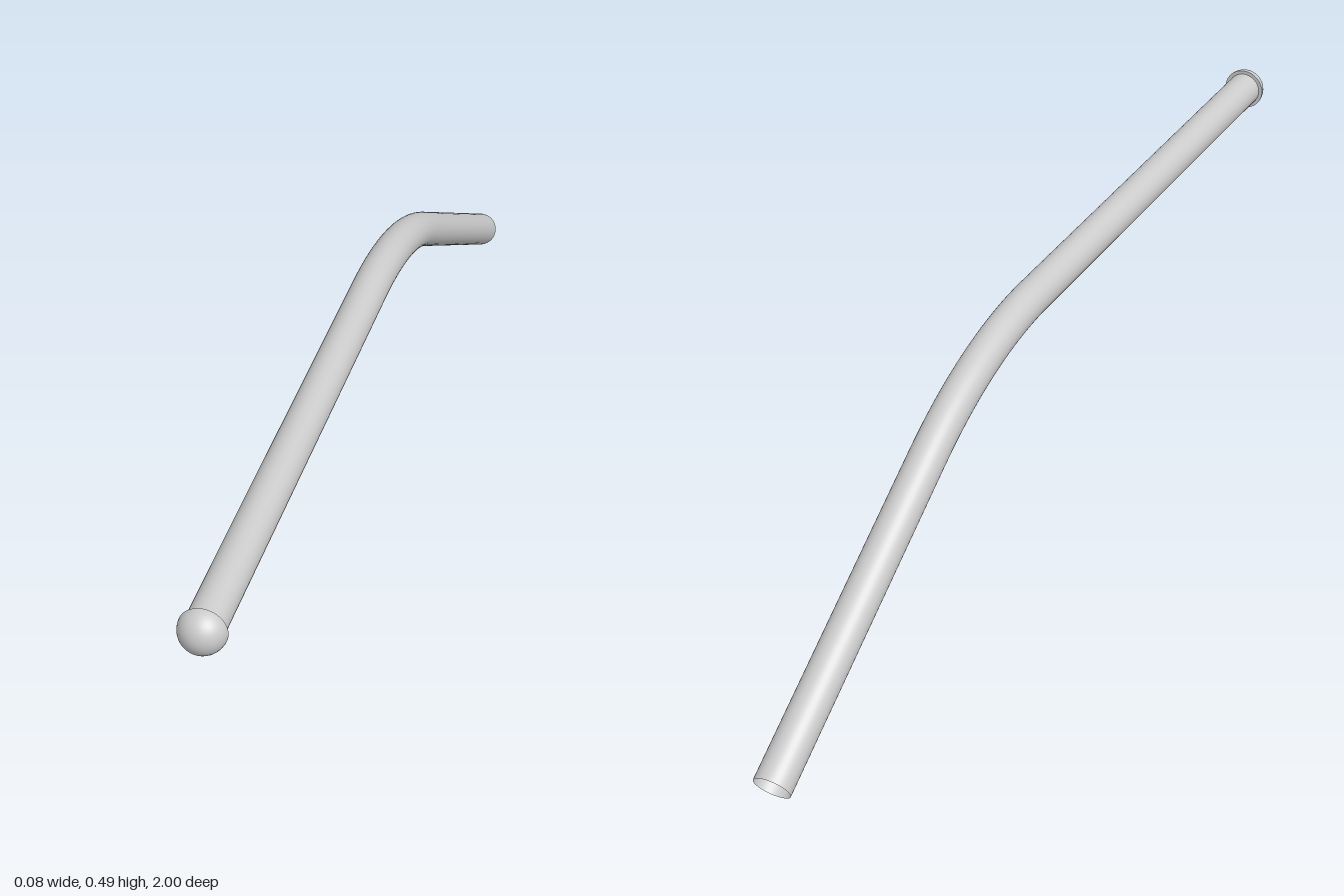
import * as THREE from 'three';

const HEIGHT = 0.452;      // centre line of the level run
const TUBE_RADIUS = 0.033;
const CAP_RADIUS = 0.04;
const SLOPE = Math.PI / 6; // bend angle

export function createModel() {
  const group = new THREE.Group();
  const material = new THREE.MeshStandardMaterial({ color: 0xcccccc, side: THREE.DoubleSide });

  // Centre line: level run, rounded bend, then a run sloping down to the back
  const point = (y, z) => new THREE.Vector3(0, y, z);
  const corner = point(HEIGHT, -0.25);
  const end = point(0.0286, -0.9835);
  const bendLength = 0.22;
  const bendStart = point(HEIGHT, corner.z + bendLength);
  const bendEnd = corner.clone().add(end.clone().sub(corner).setLength(bendLength));

  // Circular arc between the two tangent points
  class Bend extends THREE.Curve {
    getPoint(t, target = new THREE.Vector3()) {
      const r = bendLength / Math.tan(SLOPE / 2);
      const a = t * SLOPE;
      return target.set(0, HEIGHT - r * (1 - Math.cos(a)), bendStart.z - r * Math.sin(a));
    }
  }
  const path = new THREE.CurvePath();
  path.add(new THREE.LineCurve3(point(HEIGHT, 0.965), bendStart));
  path.add(new Bend());
  path.add(new THREE.LineCurve3(bendEnd, end));

  // Bent pipe, open at the back end
  const pipe = new THREE.Mesh(new THREE.TubeGeometry(path, 120, TUBE_RADIUS, 40), material);
  pipe.name = 'bentPipe';
  group.add(pipe);

  // Domed end cap, with a flat rim stepping in to the pipe
  const cap = new THREE.Group();
  cap.name = 'endCap';
  cap.position.set(0, HEIGHT, 1 - CAP_RADIUS);
  const dome = new THREE.Mesh(
    new THREE.SphereGeometry(CAP_RADIUS, 40, 16, 0, Math.PI * 2, 0, Math.PI / 2), material);
  dome.name = 'capDome';
  dome.rotation.x = Math.PI / 2;
  const rim = new THREE.Mesh(new THREE.RingGeometry(TUBE_RADIUS, CAP_RADIUS, 40), material);
  rim.name = 'capRim';
  rim.rotation.y = Math.PI;
  cap.add(dome, rim);
  group.add(cap);

  return group;
}
